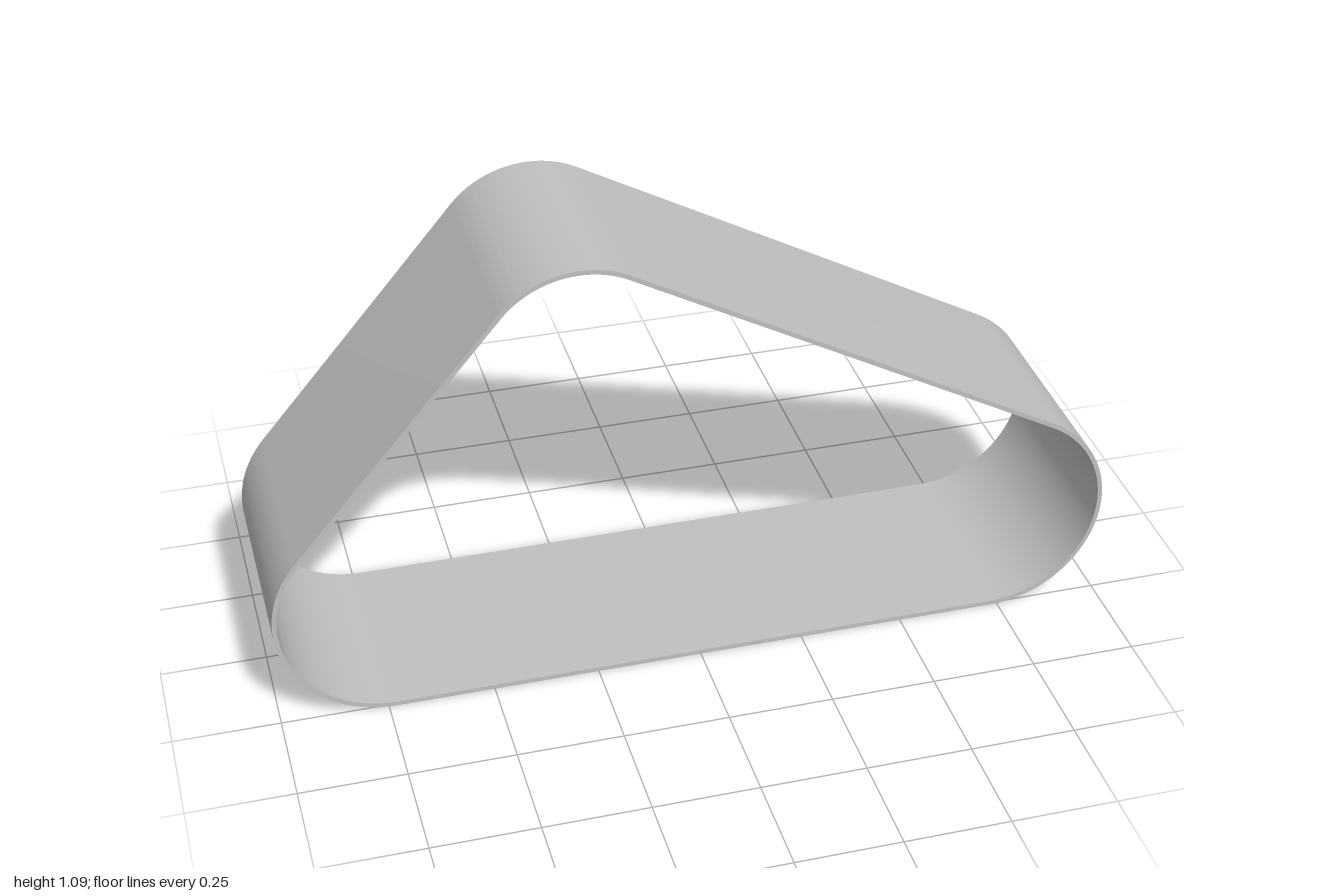
import * as THREE from 'three';
import { toCreasedNormals } from 'three/addons/utils/BufferGeometryUtils.js';

// Rounded corners the belt wraps around, counter-clockwise
const corners = [
  { x: 0.73, y: 0.27, r: 0.27 },
  { x: -0.275, y: 0.855, r: 0.24 },
  { x: -0.73, y: 0.27, r: 0.27 },
];
const THICKNESS = 0.011;
const WIDTH = 0.514;

// Outward normal angle of the straight run between two corners
function runAngle(a, b) {
  const dx = b.x - a.x, dy = b.y - a.y;
  return Math.atan2(dy, dx) - Math.acos((a.r - b.r) / Math.hypot(dx, dy));
}

// Arcs joined by tangent lines, moved inward by inset
function traceLoop(path, inset) {
  const n = corners.length;
  corners.forEach((c, i) => {
    const start = runAngle(corners[(i + n - 1) % n], c);
    const end = runAngle(c, corners[(i + 1) % n]);
    path.absarc(c.x, c.y, c.r - inset, start, end, false);
  });
  path.closePath();
  return path;
}

export function createModel() {
  const group = new THREE.Group();
  group.name = 'belt';

  const grey = new THREE.MeshStandardMaterial({ color: 0xc0c0c0 });
  grey.name = 'grey';

  // Thin closed band
  const shape = traceLoop(new THREE.Shape(), 0);
  shape.holes.push(traceLoop(new THREE.Path(), THICKNESS));
  const geometry = new THREE.ExtrudeGeometry(shape, {
    depth: WIDTH, bevelEnabled: false, curveSegments: 32,
  });
  geometry.translate(0, 0, -WIDTH / 2);

  const band = new THREE.Mesh(toCreasedNormals(geometry, 0.6), grey);
  band.name = 'band';
  group.add(band);
  return group;
}
